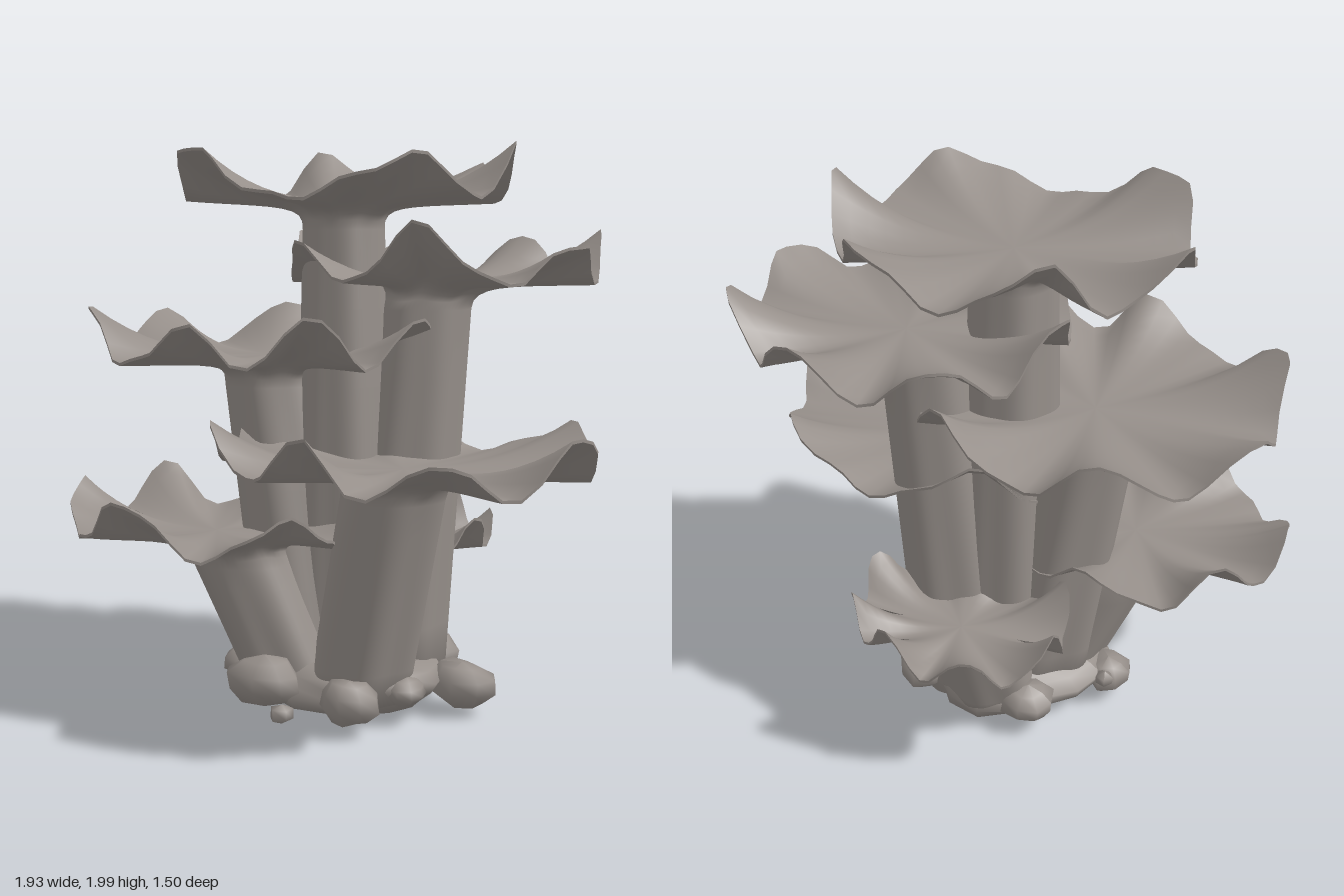
import * as THREE from 'three';

const SEG = 64;
const mat = new THREE.MeshStandardMaterial({ color: 0x968f8a });
mat.name = 'warm grey stone';

// closed-loop skin over a list of rings; point(i, angle) gives [x, y, z]
function loft(name, rings, point) {
  const pos = [], idx = [];
  for (let i = 0; i < rings; i++)
    for (let j = 0; j < SEG; j++) pos.push(...point(i, (j / SEG) * Math.PI * 2));
  for (let i = 0; i < rings - 1; i++)
    for (let j = 0; j < SEG; j++) {
      const k = (j + 1) % SEG;
      const a = i * SEG + j, b = i * SEG + k, c = a + SEG, d = b + SEG;
      idx.push(a, c, b, b, c, d);
    }
  const g = new THREE.BufferGeometry();
  g.setAttribute('position', new THREE.Float32BufferAttribute(pos, 3));
  g.setIndex(idx);
  g.computeVertexNormals();
  const m = new THREE.Mesh(g, mat);
  m.name = name;
  return m;
}

// 1 at each listed peak angle (degrees, ascending), 0 midway between neighbours
function peakAt(peaks, a) {
  const first = peaks[0];
  const deg = ((((a * 180) / Math.PI - first) % 360) + 360) % 360 + first;
  const i = peaks.findLastIndex((p) => p <= deg);
  const next = i + 1 < peaks.length ? peaks[i + 1] : first + 360;
  const f = (deg - peaks[i]) / (next - peaks[i]);
  return 0.5 + 0.5 * Math.cos(f * Math.PI * 2);
}

// one trumpet-shaped coral: leaning stalk, flared underside, wavy rim, dished top
function makeCoral(p, seed) {
  const group = new THREE.Group();
  group.name = p.name;
  const lift = (a) => p.amp * (0.08 + Math.pow(peakAt(p.peaks, a), 1.2) * (0.72 + 0.14 * Math.cos(3 * a + seed))
    + 0.06 * Math.cos(15 * a + seed * 2));
  const edge = (a) => 0.92 + 0.065 * peakAt(p.peaks, a) + 0.015 * Math.cos(13 * a + seed);
  const wave = (t, a) => lift(a) * Math.pow(t, 2.6);

  // plate position at radius fraction t
  const plate = (t, a, y) => [
    p.c[0] + Math.cos(a) * p.r[0] * t * edge(a), y, p.c[1] + Math.sin(a) * p.r[1] * t * edge(a)];

  const stemRings = 8, underRings = 10, drop = 0.08, y0 = 0.08;
  const t0 = p.neckR / p.r[0];
  const under = (i, a) => {
    if (i < stemRings) {
      // closed foot, then fluted stalk
      const f = Math.max(0, i - 1) / (stemRings - 2);
      const flute = 1 + 0.05 * (1 - f * 0.5) * Math.cos(6 * a + seed);
      const rad = i === 0 ? 0 : THREE.MathUtils.lerp(p.baseR, p.neckR, f) * flute;
      return [THREE.MathUtils.lerp(p.base[0], p.neck[0], f) + Math.cos(a) * rad,
        THREE.MathUtils.lerp(y0, p.y - drop, f),
        THREE.MathUtils.lerp(p.base[1], p.neck[1], f) + Math.sin(a) * rad];
    }
    // flare outwards from the neck to the rim
    const u = (i - stemRings + 1) / underRings;
    const t = t0 + (1 - t0) * Math.pow(u, 1.35);
    const q = plate(t, a, p.y - drop * Math.pow(1 - u, 4) + wave(t, a));
    const k = Math.pow(1 - u, 2);
    q[0] += (p.neck[0] + Math.cos(a) * p.neckR - q[0]) * k;
    q[2] += (p.neck[1] + Math.sin(a) * p.neckR - q[2]) * k;
    return q;
  };
  group.add(loft('stalkAndUnderside', stemRings + underRings, under));
  group.add(loft('rim', 2, (i, a) => plate(1, a, p.y + wave(1, a) + i * 0.01)));
  group.add(loft('plateTop', 11, (i, a) => {
    const t = 1 - i / 10;
    return plate(t, a, p.y + 0.01 + wave(t, a) + 0.015 * (1 - t));
  }));
  return group;
}

// irregular low boulder
function makeRock(name, x, y, z, rx, ry, rz, seed, detail) {
  const g = new THREE.SphereGeometry(1, 5 + detail * 3, 3 + detail * 2);
  const v = g.attributes.position;
  for (let i = 0; i < v.count; i++) {
    const X = v.getX(i), Y = v.getY(i), Z = v.getZ(i);
    const k = 1 + 0.1 * Math.sin(4 * X + seed) * Math.cos(3 * Z + seed * 2) + 0.06 * Math.sin(5 * Y + seed * 3 + X * 3);
    v.setXYZ(i, X * k * rx, Y * k * ry, Z * k * rz);
  }
  g.computeVertexNormals();
  const m = new THREE.Mesh(g, mat);
  m.name = name;
  m.position.set(x, y, z);
  return m;
}

export function createModel() {
  const model = new THREE.Group();
  model.name = 'plateCoral';

  // c/r: plate centre and radii in x,z; neck/base: stalk ends in x,z; peaks: rim high points in degrees
  const corals = [
    { name: 'topCoral', c: [-0.055, -0.06], r: [0.625, 0.535], y: 1.785, neck: [-0.055, -0.06], neckR: 0.145,
      base: [-0.03, -0.06], baseR: 0.21, amp: 0.22, peaks: [-11, 42, 130, 190, 240, 300] },
    { name: 'upperBackCoral', c: [0.25, -0.235], r: [0.585, 0.53], y: 1.51, neck: [0.21, -0.17], neckR: 0.16,
      base: [0.1, -0.13], baseR: 0.19, amp: 0.22, peaks: [15, 78, 130, 185, 235, 280, 328] },
    { name: 'middleRightCoral', c: [-0.33, 0.0], r: [0.65, 0.61], y: 1.235, neck: [-0.31, 0.0], neckR: 0.17,
      base: [-0.13, 0.0], baseR: 0.2, amp: 0.22, peaks: [5, 50, 85, 147, 200, 245, 300] },
    { name: 'middleFrontCoral', c: [0.3, 0.19], r: [0.68, 0.58], y: 0.895, neck: [0.25, 0.17], neckR: 0.18,
      base: [0.08, 0.09], baseR: 0.18, amp: 0.21, peaks: [14, 60, 97, 145, 190, 240, 312] },
    { name: 'lowerFrontCoral', c: [-0.42, 0.22], r: [0.565, 0.475], y: 0.62, neck: [-0.335, 0.15], neckR: 0.2,
      base: [-0.15, 0.08], baseR: 0.19, amp: 0.21, peaks: [36, 98, 172, 220, 270, 325] },
    { name: 'lowerBackCoral', c: [-0.03, -0.42], r: [0.4, 0.325], y: 0.495, neck: [-0.02, -0.31], neckR: 0.17,
      base: [-0.03, -0.17], baseR: 0.19, amp: 0.2, peaks: [10, 80, 140, 195, 245, 290, 335] },
  ];
  corals.forEach((p, i) => model.add(makeCoral(p, i * 1.9 + 0.6)));

  // lumpy foot under the stalks
  model.add(makeRock('foot', -0.03, 0.12, -0.03, 0.35, 0.12, 0.33, 1.3, 4));

  // stones around the foot: x, y, z, radii
  const rocks = [
    [-0.18, 0.15, 0.3, 0.15, 0.09, 0.09], [0.16, 0.13, 0.31, 0.11, 0.08, 0.08],
    [0.41, 0.12, -0.07, 0.13, 0.08, 0.1], [-0.41, 0.11, 0.03, 0.09, 0.065, 0.1],
    [0.2, 0.14, -0.28, 0.11, 0.075, 0.1], [-0.22, 0.13, -0.27, 0.1, 0.07, 0.1],
    [0.28, 0.13, 0.12, 0.07, 0.05, 0.08],
  ];
  rocks.forEach((r, i) => model.add(makeRock('stone' + (i + 1), ...r, i * 1.7 + 0.4, 1)));
  // loose pebbles
  model.add(makeRock('pebble1', 0.0, 0.12, 0.49, 0.045, 0.035, 0.04, 2, 0));
  model.add(makeRock('pebble2', -0.43, 0.14, -0.05, 0.04, 0.03, 0.04, 5, 0));
  return model;
}
